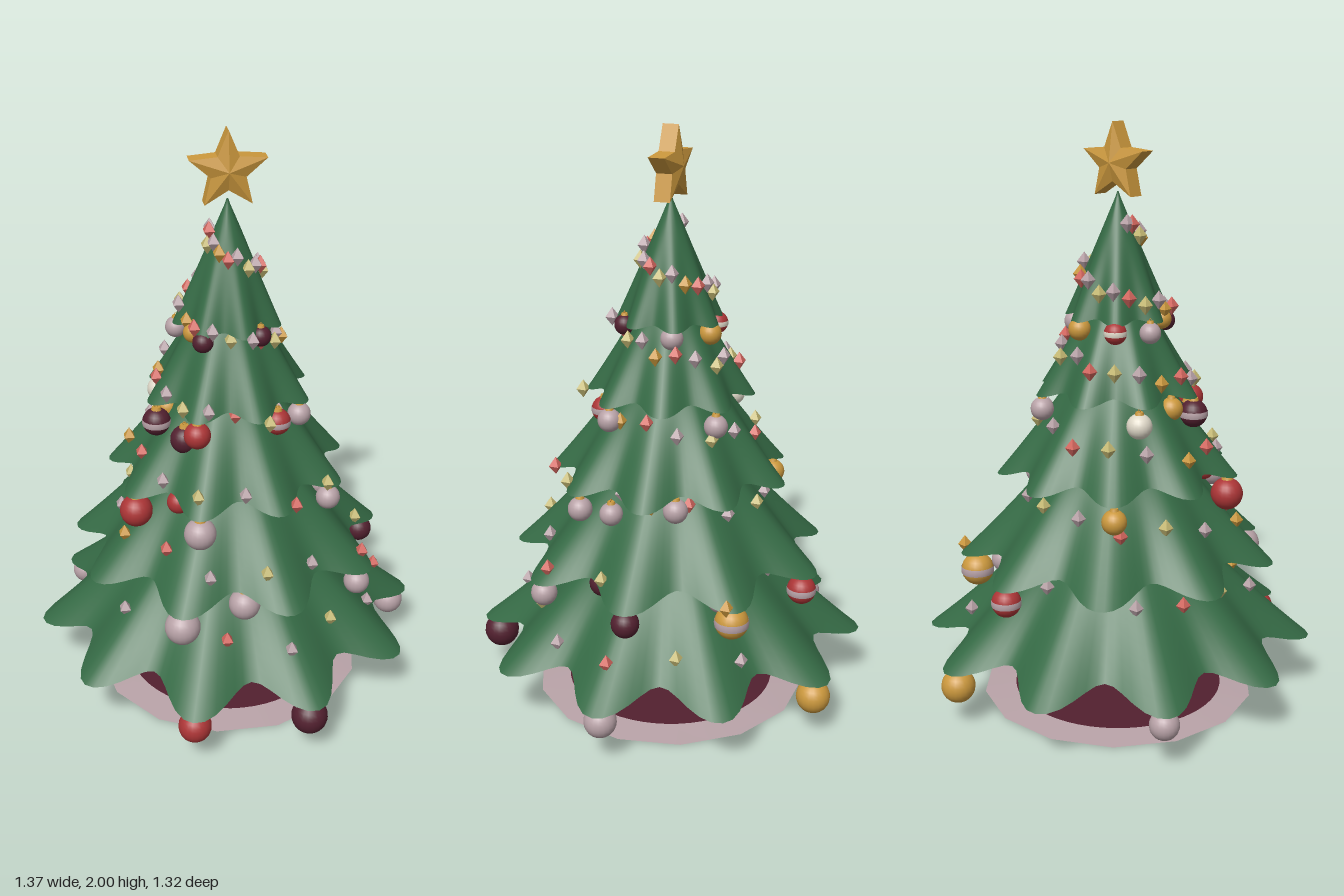
import * as THREE from 'three';
import { ParametricGeometry } from 'three/addons/geometries/ParametricGeometry.js';

const mat = (name, color, side = THREE.FrontSide) => {
  const m = new THREE.MeshStandardMaterial({ color, side });
  m.name = name;
  return m;
};

// tip radius, tip height, valley radius, valley lift, hidden top, lobes, turn in degrees, straightness
const TIERS = [
  { R: 0.685, y: 0.205, valley: 0.54, lift: 0.055, top: 0.92, n: 10, turn: 0, k: 0.7 },
  { R: 0.555, y: 0.515, valley: 0.44, lift: 0.045, top: 1.17, n: 9, turn: -5, k: 0.75 },
  { R: 0.42, y: 0.815, valley: 0.34, lift: 0.035, top: 1.4, n: 9, turn: 32, k: 0.8 },
  { R: 0.29, y: 1.1, valley: 0.235, lift: 0.025, top: 1.6, n: 8, turn: 30, k: 0.85 },
  { R: 0.185, y: 1.355, valley: 0.15, lift: 0.015, top: 1.775, n: 7, turn: 128.6, k: 0.95 },
];
const lobe = (t, a) => 0.5 + 0.5 * Math.cos(t.n * (a - t.turn * Math.PI / 180));
const rimY = (t, a) => t.y + t.lift * (1 - lobe(t, a)) ** 1.3;
function tierRadius(t, a, u) {
  const base = t.k * u + (1 - t.k) * u * u;
  const dip = (t.R - t.valley) * (1 - lobe(t, a)) * u ** 2.2;
  return Math.max(0.002, t.R * base - dip);
}

function createTier(t, i, material) {
  const g = new THREE.Group();
  g.name = 'branchTier' + (i + 1);
  const top = new ParametricGeometry((p, u, out) => {
    const a = p * Math.PI * 2, r = tierRadius(t, a, u);
    out.set(r * Math.cos(a), t.top + (rimY(t, a) - t.top) * u, r * Math.sin(a));
  }, 120, 18);
  // shallow hollow below the rim
  const under = new ParametricGeometry((p, v, out) => {
    const a = p * Math.PI * 2, r = Math.max(0.002, tierRadius(t, a, 1) * (1 - v));
    const mid = t.y + t.lift + 0.05 * t.R / 0.68;
    out.set(r * Math.cos(a), rimY(t, a) + (mid - rimY(t, a)) * Math.sqrt(v), r * Math.sin(a));
  }, 120, 8);
  for (const [name, geo] of [['branches', top], ['branchUnderside', under]]) {
    const m = new THREE.Mesh(geo, material);
    m.name = name;
    g.add(m);
  }
  return g;
}

// Thin sloping cloth ring between two outlines given as radius(angle)
function clothRing(inner, outer, yIn, yOut) {
  return new ParametricGeometry((p, v, out) => {
    const a = p * Math.PI * 2, r = inner(a) + (outer(a) - inner(a)) * v;
    out.set(r * Math.cos(a), yIn + (yOut - yIn) * v, r * Math.sin(a));
  }, 56, 2);
}

// Faceted star: raised centre on both faces, straight side walls
function createStar(material) {
  const R = 0.132, r = 0.06, edge = 0.028, peak = 0.046, pos = [];
  const rim = (i, z) => {
    const a = Math.PI / 2 + i * Math.PI / 5, q = i % 2 ? r : R;
    return [q * Math.cos(a), q * Math.sin(a), z];
  };
  for (let i = 0; i < 10; i++) {
    const a = rim(i, edge), b = rim(i + 1, edge), c = rim(i, -edge), d = rim(i + 1, -edge);
    pos.push(...a, ...b, 0, 0, peak, ...d, ...c, 0, 0, -peak, ...a, ...c, ...b, ...b, ...c, ...d);
  }
  const geo = new THREE.BufferGeometry();
  geo.setAttribute('position', new THREE.Float32BufferAttribute(pos, 3));
  geo.computeVertexNormals();
  const m = new THREE.Mesh(geo, material);
  m.name = 'starTopper';
  m.position.y = 1.868;
  return m;
}

export function createModel() {
  const tree = new THREE.Group();
  tree.name = 'decoratedTree';
  const green = mat('needleGreen', 0x356a45);
  const maroon = mat('maroon', 0x52202f, THREE.DoubleSide);
  const pink = mat('palePink', 0xb8a2a7, THREE.DoubleSide);
  const red = mat('red', 0xac3536);
  const gold = mat('gold', 0xcb983d);
  const cream = mat('cream', 0xdfd8c8);
  const salmon = mat('salmon', 0xd4665e);
  const yellow = mat('paleYellow', 0xc6ba74);
  const add = (parent, name, geo, material, x = 0, y = 0, z = 0) => {
    const m = new THREE.Mesh(geo, material);
    m.name = name;
    m.position.set(x, y, z);
    parent.add(m);
    return m;
  };

  // Floor skirt with a pale fourteen-sided border
  const step = Math.PI / 7;
  const polygon = (a) => 0.485 * Math.cos(step / 2) / Math.cos((a % step) - step / 2);
  const seam = () => 0.372;
  add(tree, 'skirt', clothRing(() => 0.03, seam, 0.016, 0.008), maroon);
  add(tree, 'skirtBorder', clothRing(seam, polygon, 0.008, 0), pink);

  add(tree, 'trunk', new THREE.CylinderGeometry(0.053, 0.066, 0.31, 20), maroon, 0, 0.16, 0);
  TIERS.forEach((t, i) => tree.add(createTier(t, i, green)));
  tree.add(createStar(gold));

  // Baubles: x, y, z, radius, colour, optional stripe colour
  const baubles = [
    [0.62, 0.155, 0, 0.055, pink], [0.19, 0.145, 0.6, 0.062, maroon], [-0.2, 0.15, 0.6, 0.056, red],
    [-0.51, 0.155, -0.37, 0.05, pink], [0.2, 0.145, -0.6, 0.058, gold],
    [-0.22, 0.455, 0.46, 0.06, pink], [0, 0.475, 0.39, 0.054, pink], [0.41, 0.465, 0.3, 0.045, pink],
    [0.5, 0.46, -0.04, 0.047, maroon], [0.34, 0.505, 0.11, 0.047, maroon],
    [0.35, 0.455, -0.355, 0.057, gold, pink], [0.055, 0.46, -0.505, 0.05, red, pink], [0.28, 0.49, -0.29, 0.045, pink],
    [-0.34, 0.75, 0.18, 0.056, red], [-0.145, 0.75, 0.36, 0.054, pink], [0.16, 0.78, 0.24, 0.042, maroon, pink],
    [0.32, 0.755, 0.2, 0.042, pink], [0.31, 0.75, 0.09, 0.04, pink], [0.27, 0.78, -0.125, 0.042, pink],
    [-0.24, 0.755, -0.3, 0.042, gold], [-0.2, 0.8, 0.23, 0.04, red],
    [-0.255, 1.04, 0.095, 0.048, maroon, pink], [-0.17, 1.005, 0.17, 0.048, maroon], [-0.135, 1.05, 0.235, 0.045, red],
    [0.14, 1.055, 0.185, 0.045, red, pink], [0.225, 1.05, 0.13, 0.04, pink], [-0.21, 1.06, 0.03, 0.04, gold],
    [0.15, 1.05, -0.22, 0.04, pink], [-0.22, 1.04, -0.15, 0.043, cream],
    [-0.1, 1.335, 0.13, 0.035, maroon], [0.09, 1.345, 0.13, 0.035, maroon], [0.14, 1.33, -0.06, 0.038, pink],
    [0.035, 1.33, -0.155, 0.038, gold], [-0.1, 1.33, -0.13, 0.038, red, cream], [-0.17, 1.325, -0.035, 0.036, pink],
    [-0.125, 1.35, 0.08, 0.034, gold],
  ];
  const ball = new THREE.SphereGeometry(1, 20, 14);
  const stripe = new THREE.SphereGeometry(1.025, 20, 3, 0, Math.PI * 2, Math.PI * 0.43, Math.PI * 0.14);
  const cap = new THREE.CylinderGeometry(0.3, 0.38, 0.24, 10);
  const loop = new THREE.TorusGeometry(0.12, 0.035, 5, 10);
  for (const [x, y, z, r, color, band] of baubles) {
    const g = new THREE.Group();
    g.name = 'bauble';
    g.position.set(x, y, z);
    g.scale.setScalar(r);
    add(g, 'ball', ball, color);
    if (band) add(g, 'ballStripe', stripe, band);
    add(g, 'ballCap', cap, gold, 0, 1.02, 0);
    add(g, 'ballLoop', loop, gold, 0, 1.24, 0);
    tree.add(g);
  }

  // Garland of small faceted gems winding down over the branches
  const gem = new THREE.OctahedronGeometry(0.025).rotateY(Math.PI / 4).scale(1, 1.3, 1);
  const gemColors = [pink, salmon, yellow, pink, gold, salmon, pink, yellow];
  let count = 0;
  for (let turn = -0.3; turn < 5.42; turn += turn < 2 ? 0.056 : 0.068) {
    const y = Math.max(0.33, 1.6 - 0.245 * turn) + 0.015 * Math.sin(count * 2.4);
    const a = Math.PI / 2 - turn * Math.PI * 2;
    const t = [...TIERS].reverse().find((q) => y > rimY(q, a)) || TIERS[0];
    const u = Math.min(1, (t.top - y) / (t.top - rimY(t, a)));
    const r = tierRadius(t, a, u) + 0.016;
    add(tree, 'garlandGem', gem, gemColors[count++ % gemColors.length], r * Math.cos(a), y, r * Math.sin(a));
  }
  return tree;
}
